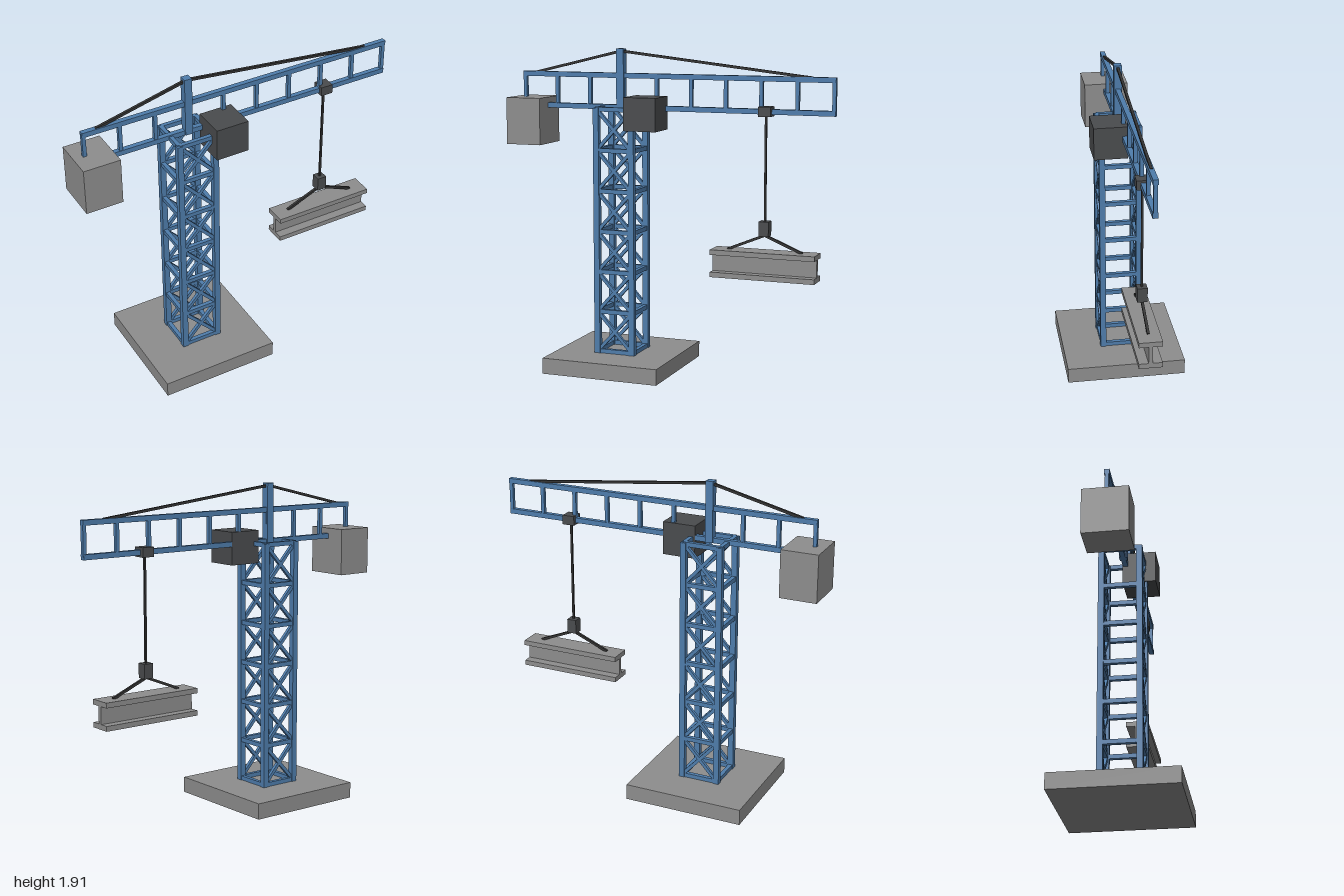
import * as THREE from 'three';

const mat = (name, color) => {
  const m = new THREE.MeshStandardMaterial({ color });
  m.name = name;
  return m;
};

export function createModel() {
  const blue = mat('blue steel', 0x4f7dac);
  const grey = mat('concrete grey', 0x8e8e8e);
  const dark = mat('dark grey', 0x4a4c4e);
  const cable = mat('cable', 0x333333);

  const model = new THREE.Group();
  model.name = 'towerCrane';
  const group = (name) => {
    const g = new THREE.Group();
    g.name = name;
    model.add(g);
    return g;
  };

  // Box from its centre and size
  const box = (parent, name, material, [x, y, z], [w, h, d]) => {
    const mesh = new THREE.Mesh(new THREE.BoxGeometry(w, h, d), material);
    mesh.name = name;
    mesh.position.set(x, y, z);
    parent.add(mesh);
  };

  // Square bar between two points lying in one plane of constant z
  const bar = (parent, name, material, [x1, y1], [x2, y2], z, t, depth = t) => {
    const mesh = new THREE.Mesh(
      new THREE.BoxGeometry(Math.hypot(x2 - x1, y2 - y1), t, depth), material);
    mesh.name = name;
    mesh.position.set((x1 + x2) / 2, (y1 + y2) / 2, z);
    mesh.rotation.z = Math.atan2(y2 - y1, x2 - x1);
    parent.add(mesh);
  };

  const cx = -0.307; // tower axis
  const r = 0.111; // tower axis to leg centre

  // Foundation slab
  box(model, 'base', grey, [cx, 0.0475, 0], [0.725, 0.095, 0.725]);

  // Lattice tower: legs, rings, and cross bracing on front and back
  const tower = group('tower');
  const y0 = 0.107, step = 0.2422, panels = 6;
  for (const sx of [-1, 1]) {
    for (const sz of [-1, 1]) {
      box(tower, 'towerLeg', blue, [cx + sx * r, 0.83, sz * r], [0.035, 1.476, 0.035]);
    }
  }
  for (let i = 0; i <= panels; i++) {
    const y = y0 + i * step;
    for (const s of [-1, 1]) {
      box(tower, 'towerCrossbar', blue, [cx, y, s * r], [2 * r, 0.026, 0.025]);
      box(tower, 'towerCrossbar', blue, [cx + s * r, y, 0], [0.025, 0.026, 2 * r]);
      if (i < panels) {
        bar(tower, 'towerBrace', blue, [cx - r, y], [cx + r, y + step], s * r, 0.02);
        bar(tower, 'towerBrace', blue, [cx - r, y + step], [cx + r, y], s * r, 0.02);
      }
    }
  }

  // Jib: two chords with evenly spaced posts
  const jib = group('jib');
  const low = 1.567, high = 1.754;
  for (const y of [low, high]) {
    box(jib, 'jibChord', blue, [0.027, y, 0], [1.94, 0.03, 0.03]);
  }
  for (let i = 0; i < 10; i++) {
    box(jib, 'jibPost', blue, [-0.933 + i * 0.2133, (low + high) / 2, 0], [0.022, high - low, 0.022]);
  }

  // Mast and tie cables
  box(model, 'mast', blue, [cx, 1.733, 0], [0.046, 0.358, 0.046]);
  for (const x of [-0.86, 0.86]) {
    bar(model, 'tieCable', cable, [cx, 1.897], [x, 1.764], 0, 0.015);
  }

  // Counterweight and cab
  box(model, 'counterweight', grey, [-0.89, 1.475, 0], [0.22, 0.28, 0.266]);
  box(model, 'cab', dark, [-0.12, 1.541, 0.081], [0.2, 0.195, 0.198]);

  // Trolley, hoist rope and hook block
  const hx = 0.588;
  const hoist = group('hoist');
  box(hoist, 'trolley', dark, [hx, 1.568, 0], [0.075, 0.056, 0.075]);
  box(hoist, 'hoistRope', cable, [hx, 1.24, 0], [0.012, 0.65, 0.012]);
  box(hoist, 'hookBlock', dark, [hx, 0.893, 0], [0.058, 0.086, 0.058]);
  for (const s of [-1, 1]) {
    bar(hoist, 'sling', cable, [hx, 0.853], [hx + s * 0.225, 0.76], 0, 0.015);
  }

  // Hanging I-beam
  const load = group('steelBeam');
  for (const y of [0.613, 0.745]) {
    box(load, 'beamFlange', grey, [hx, y, 0], [0.628, 0.03, 0.133]);
  }
  box(load, 'beamWeb', grey, [hx, 0.679, 0], [0.628, 0.102, 0.024]);

  return model;
}
